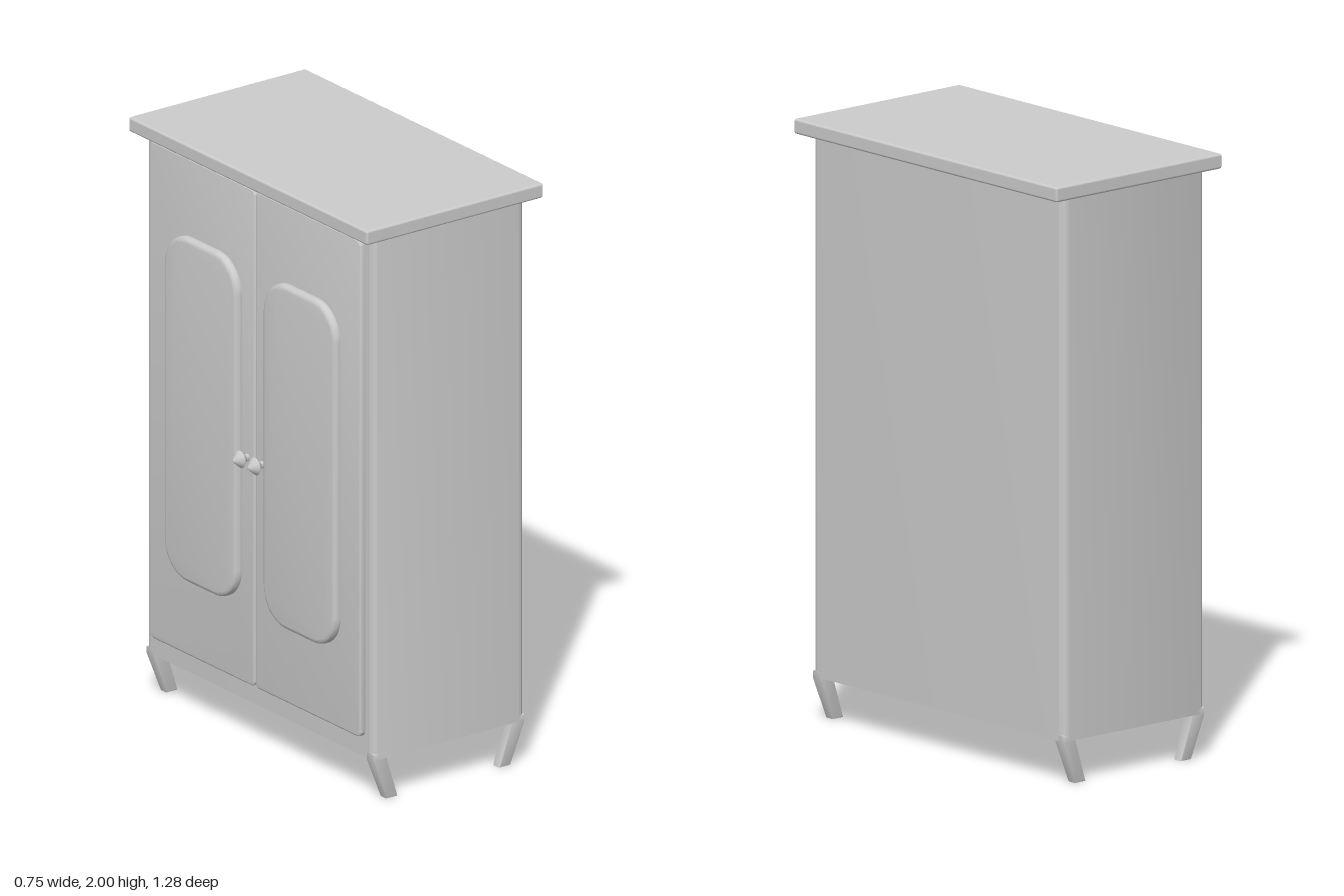
import * as THREE from 'three';
import { toCreasedNormals } from 'three/addons/utils/BufferGeometryUtils.js';
import { RoundedBoxGeometry } from 'three/addons/geometries/RoundedBoxGeometry.js';

const material = new THREE.MeshStandardMaterial({ color: 0xcccccc });

function add(parent, name, geometry) {
  const mesh = new THREE.Mesh(geometry, material);
  mesh.name = name;
  parent.add(mesh);
  return mesh;
}

// Rectangle from (x0, y0) to (x1, y1) with round corners
function roundedRect(x0, y0, x1, y1, r) {
  const s = new THREE.Shape();
  s.absarc(x1 - r, y0 + r, r, -Math.PI / 2, 0);
  s.absarc(x1 - r, y1 - r, r, 0, Math.PI / 2);
  s.absarc(x0 + r, y1 - r, r, Math.PI / 2, Math.PI);
  s.absarc(x0 + r, y0 + r, r, Math.PI, Math.PI * 1.5);
  s.closePath();
  return s;
}

// Extrusion whose bevel stays inside the drawn outline and the given depth
function slab(shape, depth, bevel) {
  const g = new THREE.ExtrudeGeometry(shape, {
    depth: depth - bevel, curveSegments: 8, bevelEnabled: true,
    bevelThickness: bevel, bevelSize: bevel, bevelOffset: -bevel, bevelSegments: 3,
  });
  return toCreasedNormals(g, 0.7);
}

export function createModel() {
  const group = new THREE.Group();

  // Cabinet body with softened upright edges
  const bodyGeometry = new THREE.ExtrudeGeometry(roundedRect(-0.295, -0.612, 0.315, 0.612, 0.025), {
    depth: 1.81, curveSegments: 6, bevelEnabled: false,
  });
  bodyGeometry.rotateX(-Math.PI / 2);
  add(group, 'body', toCreasedNormals(bodyGeometry, 0.7)).position.y = 0.145;

  // Overhanging top
  add(group, 'top', new RoundedBoxGeometry(0.715, 0.05, 1.28, 3, 0.008)).position.set(0.0125, 1.975, 0);

  // Two doors with raised panels and pointed knobs, on the -x side
  const knobProfile = [[0, 0], [0.012, 0], [0.012, 0.012], [0.03, 0.03], [0.004, 0.059], [0, 0.06]]
    .map(([r, y]) => new THREE.Vector2(r, y));
  for (const side of [-1, 1]) {
    const door = new THREE.Group();
    door.name = side < 0 ? 'doorBack' : 'doorFront';
    group.add(door);
    const span = (a, b) => (side < 0 ? [-b, -a] : [a, b]);

    const [d0, d1] = span(0.002, 0.565);
    const leaf = add(door, 'doorLeaf', slab(roundedRect(d0, 0.215, d1, 1.935, 0.02), 0.02, 0.005));
    leaf.rotation.y = -Math.PI / 2;
    leaf.position.x = -0.295;

    const [p0, p1] = span(0.07, 0.46);
    const panel = add(door, 'doorPanel', slab(roundedRect(p0, 0.48, p1, 1.67, 0.12), 0.027, 0.015));
    panel.rotation.y = -Math.PI / 2;
    panel.position.x = -0.313;

    const knob = add(door, 'knob', toCreasedNormals(new THREE.LatheGeometry(knobProfile, 16), 0.7));
    knob.rotation.z = Math.PI / 2;
    knob.position.set(-0.315, 1, side * 0.04);
  }

  // Four feet slanting inwards
  const foot = new THREE.Shape([[0.305, 0.165], [0.305, 0.14], [0.25, 0], [0.205, 0], [0.25, 0.14], [0.25, 0.165]]
    .reverse().map(([x, y]) => new THREE.Vector2(x, y)));
  for (const sx of [-1, 1]) {
    for (const sz of [-1, 1]) {
      const g = new THREE.ExtrudeGeometry(foot, {
        depth: 0.032, bevelEnabled: true, bevelThickness: 0.006,
        bevelSize: 0.006, bevelOffset: -0.006, bevelSegments: 2,
      });
      g.translate(0, 0, -0.016);
      // Taper the thickness towards the floor
      const p = g.attributes.position;
      for (let i = 0; i < p.count; i++) {
        p.setZ(i, p.getZ(i) * (0.85 + 0.15 * Math.min(1, p.getY(i) / 0.145)));
      }
      const leg = add(group, 'foot', toCreasedNormals(g, 0.7));
      leg.rotation.y = sx < 0 ? Math.PI : 0;
      leg.position.set(0.01, 0, sz * 0.59);
    }
  }
  return group;
}
